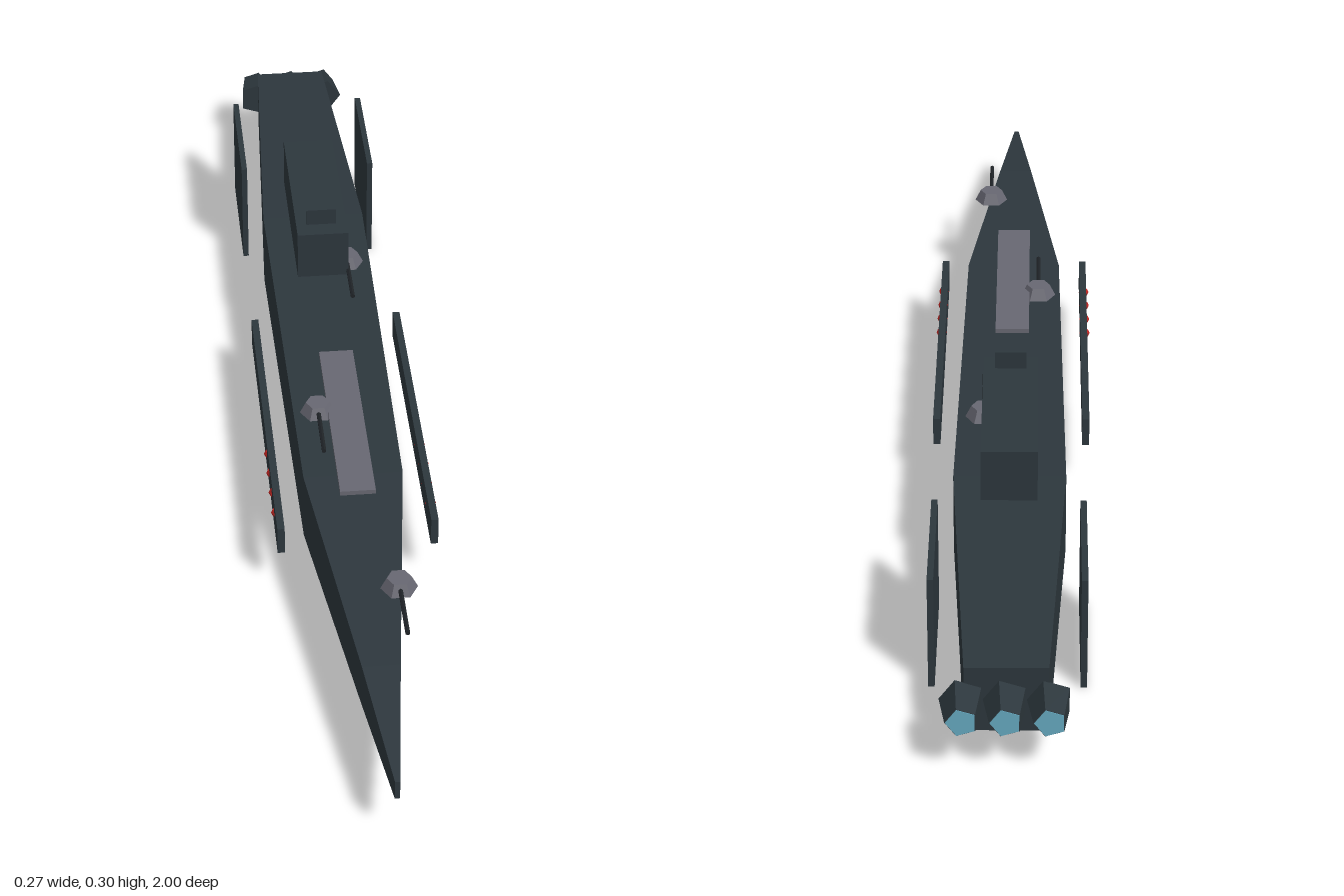
import * as THREE from 'three';

const mat = (name, color) => {
  const m = new THREE.MeshStandardMaterial({ color, flatShading: true });
  m.name = name;
  return m;
};

// Hull from rectangular stations: [z, half width, bottom, top]
function hullGeometry() {
  const stations = [
    [1, 0.004, 0.083, 0.117],
    [0.77, 0.03, 0.06, 0.139],
    [0.33, 0.082, 0.038, 0.161],
    [-0.42, 0.091, 0.03, 0.167],
    [-0.94, 0.063, 0.044, 0.156],
  ];
  const rings = stations.map(([z, w, lo, hi]) => [[w, lo, z], [w, hi, z], [-w, hi, z], [-w, lo, z]]);
  const pos = [];
  const quad = (a, b, c, d) => pos.push(...a, ...b, ...c, ...a, ...c, ...d);
  for (let i = 0; i < rings.length - 1; i++) {
    for (let k = 0; k < 4; k++) {
      const n = (k + 1) % 4;
      quad(rings[i][k], rings[i + 1][k], rings[i + 1][n], rings[i][n]);
    }
  }
  quad(...rings[0]);
  quad(...rings[rings.length - 1].slice().reverse());
  const g = new THREE.BufferGeometry();
  g.setAttribute('position', new THREE.Float32BufferAttribute(pos, 3));
  g.computeVertexNormals();
  return g;
}

export function createModel() {
  const model = new THREE.Group();
  model.name = 'warship';
  const hullMat = mat('gunmetal', 0x2d373d);
  const greyMat = mat('deckGrey', 0x686872);
  const darkMat = mat('barrelDark', 0x1f2327);
  const redMat = mat('portRed', 0xc02420);
  const glowMat = mat('engineGlow', 0x66a9c0);

  const add = (name, geometry, material, x, y, z, parent = model) => {
    const m = new THREE.Mesh(geometry, material);
    m.name = name;
    m.position.set(x, y, z);
    parent.add(m);
    return m;
  };
  // Box given by its extents on each axis
  const box = (name, material, x0, x1, y0, y1, z0, z1) =>
    add(name, new THREE.BoxGeometry(x1 - x0, y1 - y0, z1 - z0), material,
      (x0 + x1) / 2, (y0 + y1) / 2, (z0 + z1) / 2);

  add('hull', hullGeometry(), hullMat, 0, 0, 0);

  // Command tower and its sensor plate
  box('tower', hullMat, -0.045, 0.045, 0.181, 0.27, -0.515, -0.21);
  box('sensorPlate', hullMat, -0.026, 0.026, 0.27, 0.3, -0.248, -0.242);

  // Raised foredeck strip
  box('deckStrip', greyMat, -0.029, 0.029, 0.184, 0.192, 0.03, 0.41);

  // Side armour, rear fins and red ports, mirrored
  const portGeo = new THREE.SphereGeometry(0.009, 6, 4);
  for (const s of [1, -1]) {
    const side = s > 0 ? 'left' : 'right';
    const span = (a, b) => (s > 0 ? [a, b] : [-b, -a]);
    box(side + 'ArmourPanel', hullMat, ...span(0.12, 0.132), 0.075, 0.125, -0.165, 0.415);
    box(side + 'Fin', hullMat, ...span(0.112, 0.122), 0.002, 0.197, -0.77, -0.54);
    for (let i = 0; i < 4; i++) {
      add(side + 'Port', portGeo, redMat, s * 0.128, 0.1, 0.185 + i * 0.052);
    }
  }

  // Deck turrets with forward barrels
  const turretGeo = new THREE.CylinderGeometry(0.02, 0.03, 0.02, 6, 1, false, Math.PI / 2);
  const barrelGeo = new THREE.CylinderGeometry(0.004, 0.004, 0.12, 6).rotateX(Math.PI / 2);
  for (const [x, y, z] of [[0.045, 0.166, 0.61], [-0.045, 0.19, 0.18], [0.045, 0.19, -0.25]]) {
    const turret = new THREE.Group();
    turret.name = 'turret';
    turret.position.set(x, y, z);
    add('turretBase', turretGeo, greyMat, 0, 0, 0, turret);
    add('turretBarrel', barrelGeo, darkMat, 0, 0, 0.06, turret);
    model.add(turret);
  }

  // Slim rods under the keel
  const rodGeo = new THREE.CylinderGeometry(0.003, 0.003, 0.105, 6).rotateX(Math.PI / 2);
  for (const [x, z] of [[0.045, 0.468], [-0.045, 0.04], [0.045, -0.39]]) {
    add('keelRod', rodGeo, darkMat, x, 0.009, z);
  }

  // Five-sided engine nozzles with glowing ends
  const nozzleGeo = new THREE.CylinderGeometry(0.025, 0.035, 0.06, 5, 1, false, Math.PI / 2).rotateX(-Math.PI / 2);
  const glowGeo = new THREE.CylinderGeometry(0.024, 0.024, 0.002, 5, 1, false, Math.PI / 2).rotateX(-Math.PI / 2);
  for (const x of [-0.065, 0, 0.065]) {
    add('engineNozzle', nozzleGeo, hullMat, x, 0.1, -0.969);
    add('engineGlow', glowGeo, glowMat, x, 0.1, -0.999);
  }
  return model;
}
